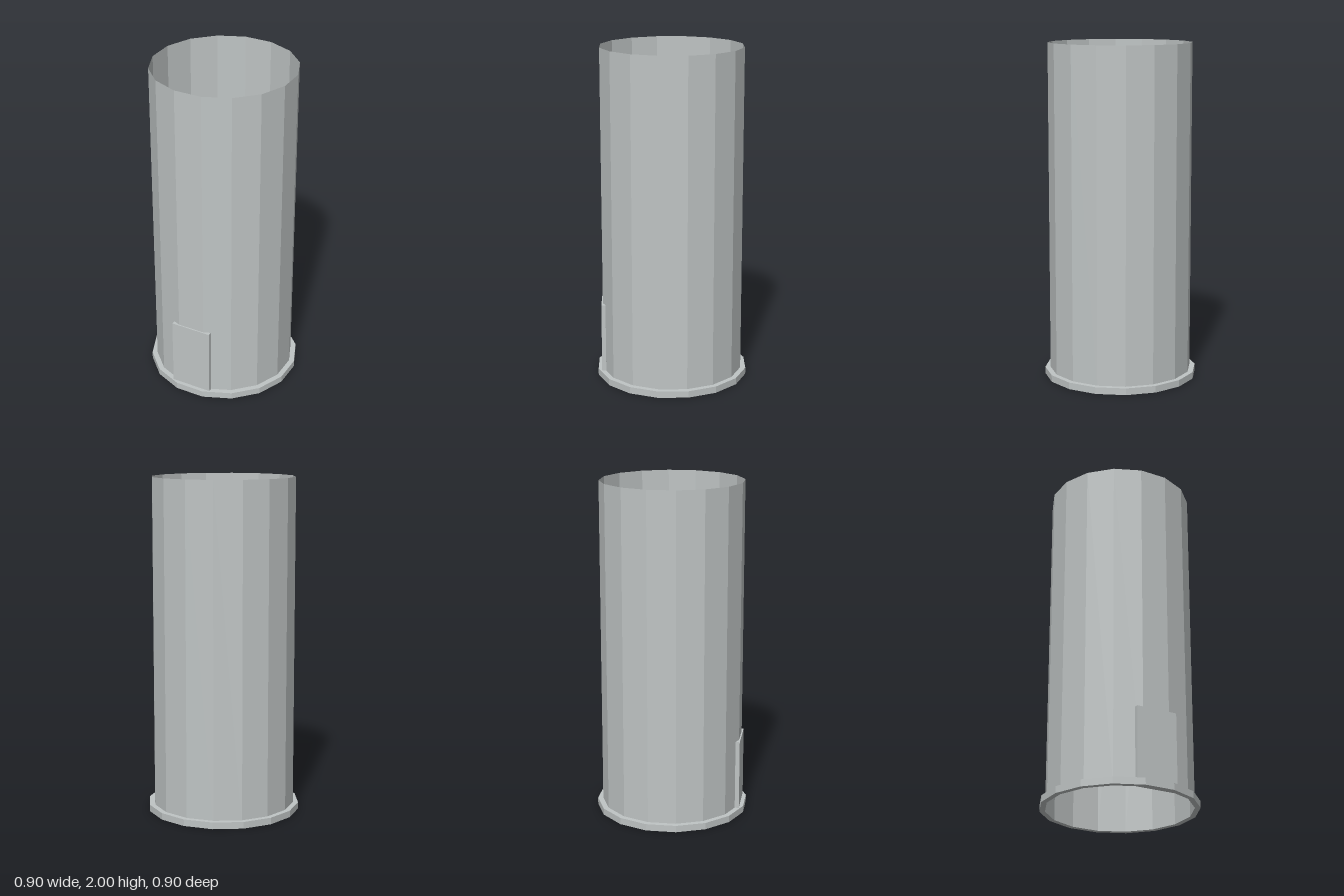
import * as THREE from 'three';

const SIDES = 16;
const TURN = Math.PI / SIDES; // puts a flat side squarely at the front

export function createModel() {
  const group = new THREE.Group();
  const metal = new THREE.MeshStandardMaterial({ color: 0xbfc4c4, flatShading: true, side: THREE.DoubleSide });
  metal.name = 'lightGreyMetal';

  const add = (name, geometry) => {
    const mesh = new THREE.Mesh(geometry, metal);
    mesh.name = name;
    group.add(mesh);
    return mesh;
  };

  // Revolve a [radius, height] profile into a faceted surface
  const revolve = (profile) =>
    new THREE.LatheGeometry(profile.map(([r, y]) => new THREE.Vector2(r, y)), SIDES, TURN);

  // Thin tube, open at both ends
  add('tubeWall', revolve([[0.425, 0], [0.425, 2]]));

  // Flange around the foot; the tube closes its inner side
  add('baseFlange', revolve([[0.425, 0], [0.457, 0], [0.457, 0.04], [0.425, 0.04]]));

  // Access door set through the front wall
  add('door', new THREE.BoxGeometry(0.25, 0.46, 0.025)).position.set(0, 0.23, 0.4125);

  return group;
}
